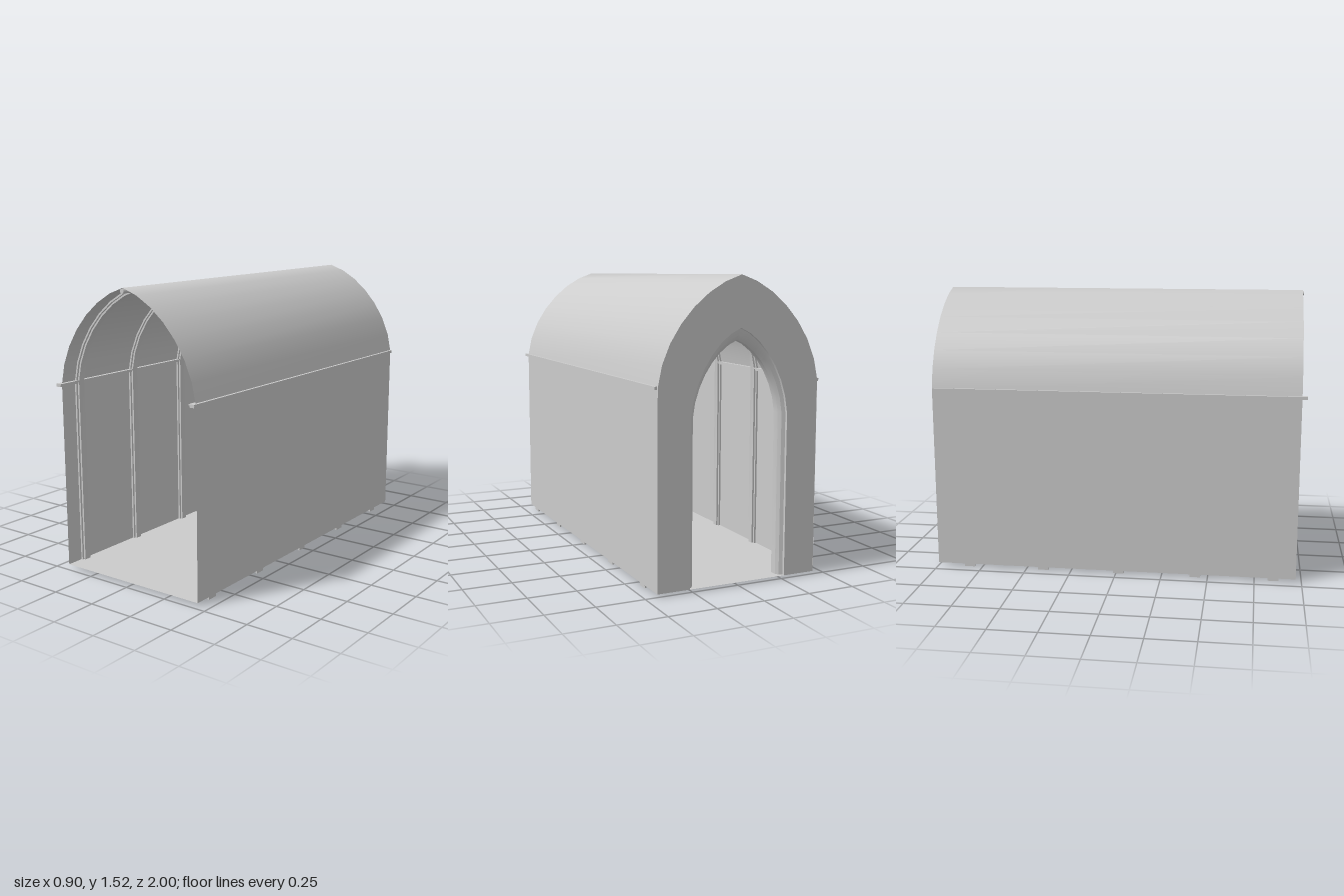
import * as THREE from 'three';
import { toCreasedNormals } from 'three/addons/utils/BufferGeometryUtils.js';

const FLOOR = 0.015, BACK = -1, FRONT = 0.97;
const W = 0.437, SPRING = 1.0, APEX = 1.517;

// Pointed arch from the +x springing over the apex to the -x springing
function archPoints(w, spring, apex, seg = 7) {
  const h = apex - spring;
  const half = new THREE.CubicBezierCurve(
    new THREE.Vector2(w, spring),
    new THREE.Vector2(0.94 * w, spring + 0.48 * h),
    new THREE.Vector2(0.46 * w, spring + 0.9 * h),
    new THREE.Vector2(0, apex)).getPoints(seg);
  const mirrored = half.slice(0, -1).reverse().map(p => new THREE.Vector2(-p.x, p.y));
  return [...half, ...mirrored];
}

// Arch with straight legs down to y = base
function doorway(w, spring, apex, base) {
  return [new THREE.Vector2(w, base), ...archPoints(w, spring, apex), new THREE.Vector2(-w, base)];
}

// Surface through equal-length rows of 3D points
function loft(rows) {
  const n = rows[0].length, pos = [], idx = [];
  rows.forEach(r => r.forEach(p => pos.push(p.x, p.y, p.z)));
  for (let i = 0; i < rows.length - 1; i++)
    for (let j = 0; j < n - 1; j++) {
      const a = i * n + j, b = a + n;
      idx.push(a, a + 1, b, a + 1, b + 1, b);
    }
  const g = new THREE.BufferGeometry();
  g.setAttribute('position', new THREE.Float32BufferAttribute(pos, 3));
  g.setIndex(idx);
  g.computeVertexNormals();
  return g;
}

const atZ = (pts, z) => pts.map(p => new THREE.Vector3(p.x, p.y, z));

// Solid band between an outer and an inner doorway outline
function archBand(outer, inner, z0, z1) {
  const shape = new THREE.Shape([...outer, ...inner.slice().reverse()]);
  const g = new THREE.ExtrudeGeometry(shape, { depth: z1 - z0, bevelEnabled: false });
  g.translate(0, 0, z0);
  return toCreasedNormals(g, 0.5);
}

export function createModel() {
  const group = new THREE.Group();
  const mat = new THREE.MeshStandardMaterial({ color: 0xcccccc, side: THREE.DoubleSide });
  const add = (name, geo, parent = group) => {
    const m = new THREE.Mesh(geo, mat);
    m.name = name;
    parent.add(m);
    return m;
  };
  const length = FRONT - BACK, midZ = (FRONT + BACK) / 2;

  // Floor
  const floor = add('floor', new THREE.PlaneGeometry(2 * W, length).rotateX(-Math.PI / 2));
  floor.position.set(0, FLOOR, midZ);

  // Side walls and the mouldings along their tops
  for (const s of [1, -1]) {
    const side = s > 0 ? 'left' : 'right';
    const wall = add(side + 'Wall', new THREE.PlaneGeometry(length, SPRING - FLOOR).rotateY(s * Math.PI / 2));
    wall.position.set(s * W, (SPRING + FLOOR) / 2, midZ);
    const lower = add(side + 'Cornice', new THREE.BoxGeometry(0.026, 0.009, 1.99));
    lower.position.set(s * 0.435, 0.994, 0.002);
    const upper = add(side + 'CorniceLip', new THREE.BoxGeometry(0.034, 0.007, 1.99));
    upper.position.set(s * 0.433, 1.002, 0.002);
  }

  // Pointed vault and ridge moulding
  const vault = archPoints(W, SPRING, APEX);
  add('vault', loft([atZ(vault, BACK), atZ(vault, FRONT)]));
  const ridge = add('ridgeMoulding', new THREE.CylinderGeometry(0.012, 0.012, 1.97, 8).rotateX(Math.PI / 2));
  ridge.position.set(0, APEX - 0.016, -0.008);

  // Stepped ribs following walls and vault
  for (let i = 0; i < 5; i++) {
    const z = 0.85 - i * 0.418;
    const rib = new THREE.Group();
    rib.name = 'rib';
    const line = d => doorway(W - d, SPRING, APEX - d, 0);
    add('ribBase', archBand(line(0.001), line(0.011), z - 0.029, z + 0.029), rib);
    add('ribFace', archBand(line(0.011), line(0.021), z - 0.018, z + 0.018), rib);
    group.add(rib);
  }

  // End wall with arched opening
  const opening = w => doorway(w, 0.84, 1.205 + (w - 0.235) * 2, FLOOR);
  add('endWall', archBand(doorway(W - 0.001, SPRING, APEX - 0.001, FLOOR), opening(0.265), BACK, -0.92));

  // Moulded trim in the opening: [half width, z] across its section
  const section = [[0.265, -0.985], [0.247, -0.978], [0.235, -0.962], [0.235, -0.925],
    [0.245, -0.91], [0.255, -0.905], [0.275, -0.92]];
  add('openingTrim', toCreasedNormals(loft(section.map(([w, z]) => atZ(opening(w), z))), 0.5));

  return group;
}
